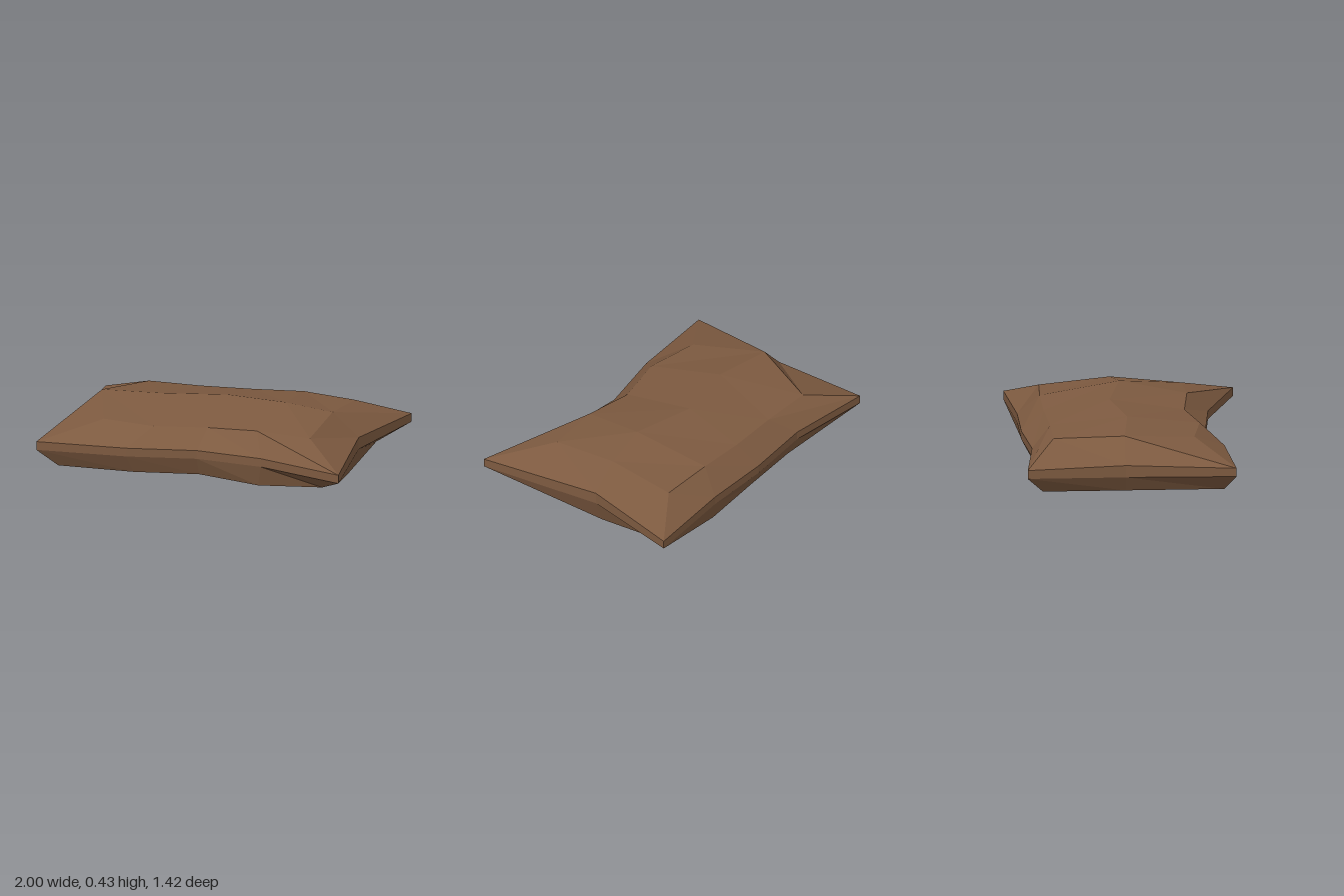
import * as THREE from 'three';

// Each layer is three rows (back, middle, front) of points running from -x to +x.
const TOP = [
  [[-0.64, 0.34, -0.5], [-0.3, 0.34, -0.5], [0.04, 0.345, -0.52], [0.36, 0.36, -0.525], [0.7, 0.34, -0.51]],
  [[-0.8, 0.39, -0.07], [-0.41, 0.415, -0.03], [0, 0.42, -0.115], [0.41, 0.432, -0.03], [0.7, 0.385, -0.07]],
  [[-0.64, 0.34, 0.37], [-0.3, 0.34, 0.425], [0.03, 0.34, 0.35], [0.36, 0.36, 0.385], [0.7, 0.34, 0.37]],
];
const BOTTOM = [
  [[-0.88, 0.065, -0.58], [-0.4, 0.06, -0.57], [0, 0.06, -0.6], [0.4, 0.04, -0.62], [0.81, 0.06, -0.59]],
  [[-0.88, 0.065, -0.07], [-0.41, 0.01, -0.07], [0, 0.008, -0.07], [0.41, 0, -0.07], [0.81, 0.01, -0.07]],
  [[-0.88, 0.065, 0.54], [-0.4, 0.06, 0.51], [0, 0.06, 0.43], [0.4, 0.04, 0.48], [0.81, 0.06, 0.46]],
];
// Seam outline as x, z, clockwise from the back corner at -x
const OUTLINE = [
  [-0.98, -0.68], [-0.43, -0.62], [0, -0.66], [0.43, -0.66], [1, -0.71], [0.87, -0.07],
  [1, 0.71], [0.43, 0.52], [0, 0.48], [-0.43, 0.57], [-1, 0.61], [-0.94, -0.07],
];

// Border of a layer, in the same order as the outline
const border = ([back, mid, front]) => [...back, mid[4], ...[...front].reverse(), mid[0]];

const quad = (a, b, c, d) => [a, b, c, a, c, d];

// Ring of faces between a lower and an upper loop
function band(lower, upper) {
  return lower.flatMap((p, i) => {
    const j = (i + 1) % lower.length;
    return quad(p, upper[i], upper[j], lower[j]);
  });
}

// Panel over the rows of a layer, facing up or down
function panel(rows, up) {
  const faces = [];
  for (let r = 0; r < 2; r++) {
    for (let i = 0; i < 4; i++) {
      const q = [rows[r][i], rows[r + 1][i], rows[r + 1][i + 1], rows[r][i + 1]];
      faces.push(...quad(...(up ? q : q.reverse())));
    }
  }
  return faces;
}

// Unshared corners give flat facets
function facetMesh(name, points, material) {
  const geometry = new THREE.BufferGeometry();
  geometry.setAttribute('position', new THREE.Float32BufferAttribute(points.flat(), 3));
  geometry.computeVertexNormals();
  const mesh = new THREE.Mesh(geometry, material);
  mesh.name = name;
  return mesh;
}

export function createModel() {
  const group = new THREE.Group();
  group.name = 'pillow';
  const fabric = new THREE.MeshStandardMaterial({ color: 0x7d5a40 });
  fabric.name = 'brown fabric';

  // The seam is slightly thicker halfway along the short sides
  const isSide = (i) => i === 5 || i === 11;
  const seamTop = OUTLINE.map(([x, z], i) => [x, isSide(i) ? 0.238 : 0.226, z]);
  const seamBottom = OUTLINE.map(([x, z], i) => [x, isSide(i) ? 0.163 : 0.173, z]);

  group.add(
    facetMesh('topCushion', [...panel(TOP, true), ...band(seamTop, border(TOP))], fabric),
    facetMesh('seam', band(seamBottom, seamTop), fabric),
    facetMesh('bottomCushion', [...panel(BOTTOM, false), ...band(border(BOTTOM), seamBottom)], fabric),
  );
  return group;
}
